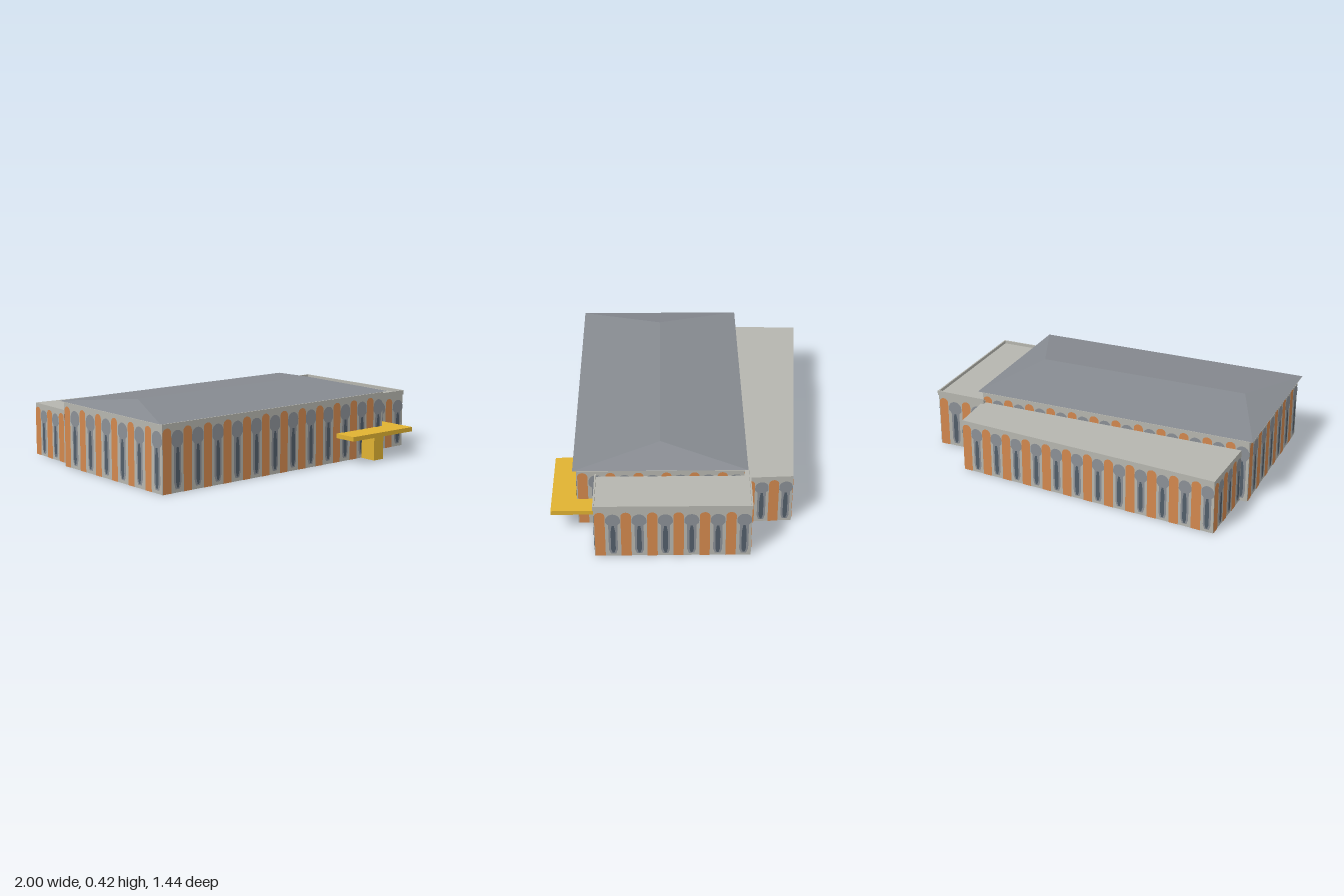
import * as THREE from 'three';
import { mergeGeometries } from 'three/addons/utils/BufferGeometryUtils.js';

const mat = (name, color) => {
  const m = new THREE.MeshStandardMaterial({ color, side: THREE.DoubleSide });
  m.name = name;
  return m;
};

export function createModel() {
  const stone = mat('pale stone', 0xb6b6af);
  const slate = mat('slate roof', 0x868a90);
  const brick = mat('orange brick', 0xd2884e);
  const archGrey = mat('arch grey', 0x8b9096);
  const glass = mat('dark window', 0x525e6a);
  const yellow = mat('canopy yellow', 0xe0b232);

  const model = new THREE.Group();
  const add = (parent, name, geo, material) => {
    const m = new THREE.Mesh(geo, material);
    m.name = name;
    parent.add(m);
    return m;
  };

  // Round-headed upright panel
  const roundTop = (cx, w, y0, y1) => {
    const r = w / 2, rise = Math.min(r, 0.025);
    const s = new THREE.Shape();
    s.moveTo(cx - r, y0);
    s.lineTo(cx + r, y0);
    s.lineTo(cx + r, y1 - rise);
    s.absellipse(cx, y1 - rise, r, rise, 0, Math.PI, false);
    return s;
  };
  // Wide arch head standing on a slimmer body
  const archShape = (cx, w, h) => {
    const r = w / 2, b = w * 0.31, rise = Math.min(r, 0.04), top = 0.89 * h - rise;
    const s = new THREE.Shape();
    s.moveTo(cx - b * 0.6, 0.05 * h);
    s.lineTo(cx + b * 0.6, 0.05 * h);
    s.lineTo(cx + b, 0.14 * h);
    s.lineTo(cx + b, 0.66 * h);
    s.lineTo(cx + r, 0.71 * h);
    s.lineTo(cx + r, top);
    s.absellipse(cx, top, r, rise, 0, Math.PI, false);
    s.lineTo(cx - r, 0.71 * h);
    s.lineTo(cx - b, 0.66 * h);
    s.lineTo(cx - b, 0.14 * h);
    return s;
  };
  // Slender window, tapered at both ends
  const windowShape = (cx, w, h) => {
    const r = w / 2;
    return new THREE.Shape([
      [-0.4, 0.07], [0.4, 0.07], [1, 0.15], [1, 0.52], [0.5, 0.65], [-0.5, 0.65], [-1, 0.52], [-1, 0.15],
    ].map(([x, y]) => new THREE.Vector2(cx + x * r, y * h)));
  };

  // Flat painted shapes on both faces of a wall
  const painted = (shapes, d) => mergeGeometries([d, -d].map(
    (z) => new THREE.ShapeGeometry(shapes, 6).translate(0, 0, z)));

  // Wall from p to q (left to right seen from outside), split into bays
  const wall = (parent, name, p, q, h, bays) => {
    const dx = q[0] - p[0], dz = q[1] - p[1], len = Math.hypot(dx, dz);
    const g = new THREE.Group();
    g.name = name;
    g.position.set(p[0], 0, p[1]);
    g.rotation.y = Math.atan2(-dz, dx);
    parent.add(g);
    add(g, 'wallPanel', new THREE.PlaneGeometry(len, h).translate(len / 2, h / 2, 0), stone);
    const period = len / bays, piers = [], arches = [], windows = [];
    for (let i = 0; i < bays; i++) {
      const x = (i + 0.22) * period, c = x + period / 2;
      piers.push(roundTop(x, 0.054, 0, 0.93 * h));
      arches.push(archShape(c, period * 0.56, h));
      windows.push(windowShape(c, period * 0.18, h));
    }
    add(g, 'brickPiers', painted(piers, 0.002), brick);
    add(g, 'archPanels', painted(arches, 0.002), archGrey);
    add(g, 'windows', painted(windows, 0.004), glass);
  };

  // Closed ring of walls around a four-cornered plan
  const sides = ['frontWall', 'leftWall', 'backWall', 'rightWall'];
  const walls = (parent, pts, h, bays) => sides.forEach((name, i) =>
    wall(parent, name, pts[i], pts[(i + 1) % 4], h, bays[i]));

  const flatRoof = (parent, name, pts, y) => add(parent, name,
    new THREE.ShapeGeometry(new THREE.Shape(pts.map(([x, z]) => new THREE.Vector2(x, -z))))
      .rotateX(-Math.PI / 2).translate(0, y, 0), stone);

  const turn = Math.atan2(0.29, 1.595);

  // Main hall
  const hall = new THREE.Group();
  hall.name = 'mainHall';
  hall.position.set(-0.119, 0, 0.116);
  hall.rotation.y = turn;
  model.add(hall);
  const W = 0.79, D = 0.447;
  walls(hall, [[-W, D], [W, D], [W, -D], [-W, -D]], 0.364, [12, 6, 12, 6]);

  // Hipped roof with a closed flat underside
  const rw = 0.812, rd = 0.465, rl = 0.615, ye = 0.367, yr = 0.416;
  const a = [-rw, ye, rd], b = [rw, ye, rd], e = [rw, ye, -rd], f = [-rw, ye, -rd];
  const r0 = [-rl, yr, 0], r1 = [rl, yr, 0];
  const hip = new THREE.BufferGeometry();
  hip.setAttribute('position', new THREE.Float32BufferAttribute([
    a, b, r1, a, r1, r0, b, e, r1, e, f, r0, e, r0, r1, f, a, r0].flat(), 3));
  hip.computeVertexNormals();
  add(hall, 'hippedRoof', hip, slate);
  flatRoof(hall, 'soffit', [[-rw, rd], [rw, rd], [rw, -rd], [-rw, -rd]], 0.3655);

  // Rear annex: a lower block running forward underneath the hall
  const annex = new THREE.Group();
  annex.name = 'rearAnnex';
  model.add(annex);
  const n = [[-0.825, 0.571], [0.752, 0.29], [0.523, -0.72], [-0.99, -0.573]];
  walls(annex, n, 0.3, [12, 8, 12, 9]);
  flatRoof(annex, 'annexRoof', n, 0.3);

  // Side wing, tucked slightly into the hall
  const wing = new THREE.Group();
  wing.name = 'sideWing';
  model.add(wing);
  const s = [[0.7, 0.318], [0.989, 0.267], [0.843, -0.54], [0.558, -0.491]];
  walls(wing, s, 0.312, [2, 6, 2, 6]);
  flatRoof(wing, 'wingRoof', s, 0.314);

  // Low parapet on the wing's outer edges
  for (let i = 0; i < 3; i++) {
    const [p, q] = [s[i], s[i + 1]];
    const dx = q[0] - p[0], dz = q[1] - p[1];
    const rim = add(wing, 'parapet', new THREE.BoxGeometry(Math.hypot(dx, dz) + 0.01, 0.025, 0.008), stone);
    rim.position.set((p[0] + q[0]) / 2, 0.319, (p[1] + q[1]) / 2);
    rim.rotation.y = Math.atan2(-dz, dx);
  }

  // Entrance canopy on a single post
  const canopy = new THREE.Group();
  canopy.name = 'entranceCanopy';
  canopy.position.set(0.612, 0, 0.456);
  canopy.rotation.y = turn;
  model.add(canopy);
  add(canopy, 'canopySlab', new THREE.BoxGeometry(0.472, 0.025, 0.238).translate(0, 0.152, 0), yellow);
  add(canopy, 'canopyPost', new THREE.BoxGeometry(0.073, 0.14, 0.098).translate(0, 0.07, 0.035), yellow);

  return model;
}
